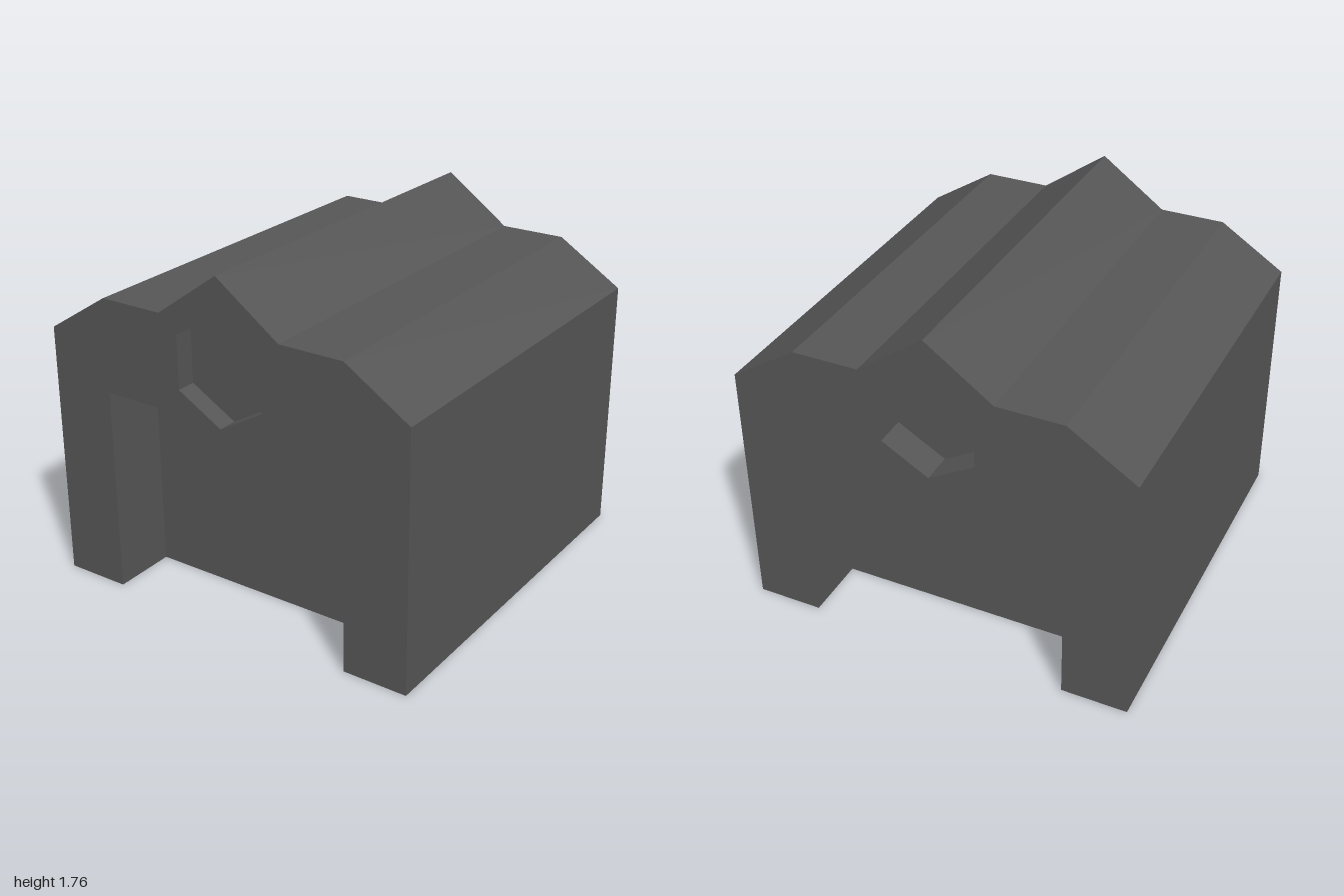
import * as THREE from 'three';

const T = 1 / 3;
const DOOR_DEPTH = 0.33;
const pts = (list) => list.map(([x, y]) => new THREE.Vector2(x, y));

// House silhouette, counter-clockwise from the bottom right corner
const outline = pts([[1, 0], [1, 1.312], [2 * T, 1.525], [T, 1.525], [0, 1.765],
  [-T, 1.525], [-2 * T, 1.525], [-1, 1.312], [-1, 0]]);
// Recess borders, clockwise so their walls face inwards
const door = pts([[-2 * T, 0], [-2 * T, 1.05], [-T, 1.05], [0, 0.88],
  [T, 1.05], [2 * T, 1.05], [2 * T, 0]]);
const hexagon = Array.from({ length: 6 }, (_, i) => {
  const a = Math.PI / 2 - (i * Math.PI) / 3;
  return new THREE.Vector2(0.27 * Math.cos(a), 1.307 + 0.27 * Math.sin(a));
});

const material = new THREE.MeshStandardMaterial({ color: 0x555555, flatShading: true });

function mesh(name, geometry, z = 0) {
  const m = new THREE.Mesh(geometry, material);
  m.name = name;
  m.position.z = z;
  return m;
}

// Flat-faced strip along a path, swept from z0 to z1
function strip(path, z0, z1) {
  const v = [];
  for (let i = 0; i + 1 < path.length; i++) {
    const a = path[i], b = path[i + 1];
    v.push(a.x, a.y, z0, b.x, b.y, z0, b.x, b.y, z1);
    v.push(a.x, a.y, z0, b.x, b.y, z1, a.x, a.y, z1);
  }
  const g = new THREE.BufferGeometry();
  g.setAttribute('position', new THREE.Float32BufferAttribute(v, 3));
  g.computeVertexNormals();
  return g;
}

const flat = (points) => new THREE.ShapeGeometry(new THREE.Shape(points));

// One gable end with its doorway and window recesses
function gableEnd(name, windowDepth) {
  const end = new THREE.Group();
  end.name = name;
  const face = new THREE.Shape([...outline, ...door]);
  face.holes.push(new THREE.Path(hexagon));
  end.add(
    mesh('gableWall', new THREE.ShapeGeometry(face), 1),
    mesh('doorwayReveal', strip(door, 1 - DOOR_DEPTH, 1)),
    mesh('doorPanel', flat(door), 1 - DOOR_DEPTH),
    mesh('windowReveal', strip([...hexagon, hexagon[0]], 1 - windowDepth, 1)),
    mesh('windowPanel', flat(hexagon), 1 - windowDepth),
  );
  return end;
}

export function createModel() {
  const model = new THREE.Group();
  model.name = 'house';

  // Side walls and roof
  model.add(mesh('wallsAndRoof', strip(outline, -1, 1)));

  // Gable ends
  const back = gableEnd('backEnd', 0.16);
  back.rotation.y = Math.PI;
  model.add(gableEnd('frontEnd', 0.1), back);

  // Underside, notched at both doorways
  const d = 1 - DOOR_DEPTH, w = 2 * T;
  const floor = flat(pts([[-1, -1], [-w, -1], [-w, -d], [w, -d], [w, -1], [1, -1],
    [1, 1], [w, 1], [w, d], [-w, d], [-w, 1], [-1, 1]]));
  model.add(mesh('floor', floor.rotateX(Math.PI / 2)));

  return model;
}
